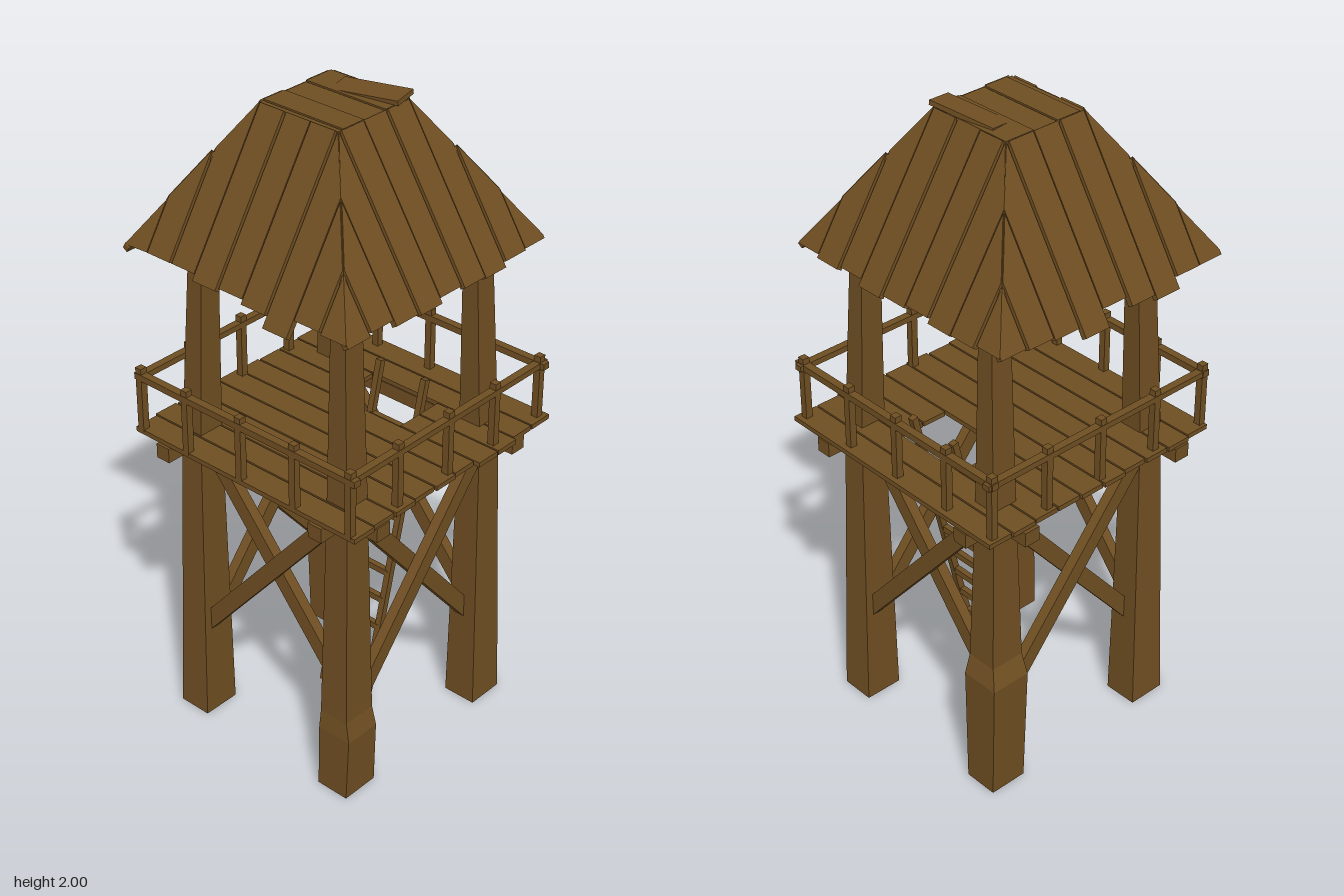
import * as THREE from 'three';

const wood = new THREE.MeshStandardMaterial({ color: 0x6f4e22 });
wood.name = 'brown wood';
wood.flatShading = true;

function add(parent, name, geometry) {
  const mesh = new THREE.Mesh(geometry, wood);
  mesh.name = name;
  parent.add(mesh);
  return mesh;
}

function subGroup(parent, name, x = 0, z = 0) {
  const group = new THREE.Group();
  group.name = name;
  group.position.set(x, 0, z);
  parent.add(group);
  return group;
}

// Axis-aligned box given by its ranges
function box(parent, name, x0, x1, y0, y1, z0, z1) {
  const mesh = add(parent, name, new THREE.BoxGeometry(x1 - x0, y1 - y0, z1 - z0));
  mesh.position.set((x0 + x1) / 2, (y0 + y1) / 2, (z0 + z1) / 2);
}

// Square beam between two points of the parent's own frame
function beam(parent, name, a, b, width, depth) {
  const from = new THREE.Vector3(...a), to = new THREE.Vector3(...b);
  const geometry = new THREE.BoxGeometry(width, depth, from.distanceTo(to));
  geometry.applyMatrix4(new THREE.Matrix4().lookAt(to, from, new THREE.Vector3(0, 1, 0)));
  add(parent, name, geometry).position.copy(from).add(to).multiplyScalar(0.5);
}

// Four-sided post from sections [y, inner, outerX, outerZ], mirrored by sx and sz
function postGeometry(sections, sx, sz) {
  const corners = [], index = [];
  for (const [y, inner, ox, oz] of sections) {
    const ring = [[inner, inner], [inner, oz], [ox, oz], [ox, inner]];
    if (sx * sz < 0) ring.reverse();
    for (const [x, z] of ring) corners.push(sx * x, y, sz * z);
  }
  const n = sections.length;
  for (let s = 0; s < n - 1; s++) {
    for (let i = 0; i < 4; i++) {
      const a = s * 4 + i, b = s * 4 + (i + 1) % 4;
      index.push(a, b, b + 4, a, b + 4, a + 4);
    }
  }
  const t = (n - 1) * 4;
  index.push(0, 2, 1, 0, 3, 2, t, t + 1, t + 2, t, t + 2, t + 3);
  const geometry = new THREE.BufferGeometry();
  geometry.setAttribute('position', new THREE.Float32BufferAttribute(corners, 3));
  geometry.setIndex(index);
  const flat = geometry.toNonIndexed();
  flat.computeVertexNormals();
  return flat;
}

function buildLegs(group) {
  const legs = subGroup(group, 'legs', 0.01, -0.004);
  const plain = [[0, 0.23, 0.338, 0.352], [0.95, 0.24, 0.315, 0.325], [1.6, 0.235, 0.283, 0.3]];
  const bulge = (y, x, z) => [plain[0], [y, 0.232, x, z], [y + 0.06, 0.232, 0.33, 0.342], plain[1], plain[2]];
  add(legs, 'frontRightLeg', postGeometry(plain, -1, 1));
  add(legs, 'backLeftLeg', postGeometry(plain, 1, -1));
  add(legs, 'frontLeftLeg', postGeometry(bulge(0.21, 0.346, 0.35), 1, 1));
  add(legs, 'backRightLeg', postGeometry(bulge(0.4, 0.355, 0.361), -1, -1));
}

// Crossed braces on every side
function buildBraces(group) {
  const braces = subGroup(group, 'braces', 0.012, -0.004);
  for (let k = 0; k < 4; k++) {
    const side = subGroup(braces, 'crossBrace');
    side.rotation.y = k * Math.PI / 2;
    for (const s of [-1, 1]) {
      const z = 0.285 + s * 0.016;
      beam(side, 'brace', [-s * 0.268, 0.305, z], [s * 0.268, 0.94, z], 0.032, 0.05);
    }
  }
}

function buildPlatform(group) {
  const platform = subGroup(group, 'platform', 0.003);
  for (const s of [-1, 1]) {
    const c = s * 0.29;
    box(platform, 'crossBeam', -0.42, 0.425, 0.932, 0.977, c - 0.026, c + 0.026);
    box(platform, 'sideBeam', c - 0.024, c + 0.024, 0.93, 0.976, -0.435, 0.416);
  }
  // Floor planks, two of them cut for the ladder hatch
  const ends = [0.425, 0.425, 0.438, 0.438, 0.42, 0.425, 0.42, 0.425, 0.42, 0.425];
  ends.forEach((end, i) => {
    const z0 = -0.431 + i * 0.0843, z1 = z0 + 0.079;
    if (i === 2 || i === 3) {
      box(platform, 'floorPlank', -0.405, -0.1, 0.975, 0.99, z0, z1);
      box(platform, 'floorPlank', 0.15, end, 0.975, 0.99, z0, z1);
    } else {
      box(platform, 'floorPlank', -0.405 - (i % 3) * 0.004, end, 0.975, 0.99, z0, z1);
    }
  });
}

function buildRailing(group) {
  const railing = subGroup(group, 'railing', 0.004, -0.003);
  const post = (x, z) => box(railing, 'railPost', x - 0.011, x + 0.011, 0.985, 1.19, z - 0.011, z + 0.011);
  const xs = [-0.385, -0.205, 0, 0.2, 0.4], zs = [0.4, 0.21, 0, -0.2, -0.4];
  for (const z of [zs[0], zs[4]]) {
    xs.forEach(x => post(x, z));
    box(railing, 'handrail', -0.4, 0.425, 1.152, 1.172, z - 0.012, z + 0.012);
  }
  for (const x of [xs[0], xs[4]]) {
    zs.slice(1, 4).forEach(z => post(x, z));
    box(railing, 'handrail', x - 0.012, x + 0.012, 1.153, 1.171, -0.422, 0.41);
  }
}

function buildLadder(group) {
  const ladder = subGroup(group, 'ladder', 0.003, -0.002);
  for (const x of [-0.06, 0.11]) beam(ladder, 'ladderRail', [x, 0.015, 0], [x, 1.06, -0.25], 0.02, 0.02);
  for (let i = 0; i < 10; i++) {
    const y = 0.095 + i * 0.0885, z = -0.239 * (y - 0.015);
    box(ladder, 'rung', -0.06, 0.11, y - 0.01, y + 0.01, z - 0.009, z + 0.009);
  }
}

function buildRoof(group) {
  const roof = subGroup(group, 'roof', -0.01);
  const top = 0.14, run = 0.27, drop = 0.42, topY = 1.975;
  const slope = Math.hypot(run, drop);

  // Closed core under the planks
  const core = new THREE.CylinderGeometry(0.125 * Math.SQRT2, 0.386 * Math.SQRT2, 0.4, 4, 1);
  add(roof, 'roofCore', core.rotateY(Math.PI / 4)).position.y = 1.76;

  // Sloping planks, trimmed at the hips; eave reach of each plank by side
  const reach = [
    [0.4, 0.4, 0.4, 0.41, 0.405, 0.412, 0.43, 0.402, 0.405],
    [0.41, 0.405, 0.415, 0.418, 0.41, 0.415, 0.418, 0.41, 0.408],
    [0.405, 0.41, 0.405, 0.415, 0.41, 0.405, 0.412, 0.41, 0.405],
    [0.408, 0.411, 0.415, 0.432, 0.405, 0.42, 0.428, 0.41, 0.41],
  ];
  const hip = u => -slope * Math.max(0, (Math.abs(u) - top) / run);
  const basis = new THREE.Matrix4().makeBasis(
    new THREE.Vector3(1, 0, 0),
    new THREE.Vector3(0, drop / slope, -run / slope),
    new THREE.Vector3(0, run / slope, drop / slope));
  basis.setPosition(0, topY, top);
  reach.forEach((row, k) => {
    const side = subGroup(roof, 'roofSide');
    side.rotation.y = k * Math.PI / 2;
    row.forEach((r, i) => {
      const u0 = (i - 4) * 0.09 - 0.042, u1 = u0 + 0.084, end = -slope * (r - top) / run;
      const outline = [[u0, hip(u0)], [u0, end], [u1, end], [u1, hip(u1)]];
      const shape = new THREE.Shape(outline.map(p => new THREE.Vector2(...p)));
      const geometry = new THREE.ExtrudeGeometry(shape, { depth: 0.018, bevelEnabled: false });
      geometry.translate(0, 0, -0.018 + (i % 2) * 0.004);
      add(side, 'roofPlank', geometry.applyMatrix4(basis));
    });
  });

  // Flat cap planks and one loose, lifted plank
  const edges = [-0.14, -0.04, 0.042, 0.125, 0.142];
  for (let i = 0; i < 4; i++) {
    box(roof, 'capPlank', -0.14, 0.14, 1.955, 1.977 - (i % 2) * 0.003, edges[i], edges[i + 1] - 0.003);
  }
  const loose = add(roof, 'loosePlank', new THREE.BoxGeometry(0.215, 0.014, 0.076));
  loose.position.set(0.04, 1.98, -0.1);
  loose.rotation.set(0.1, 0.15, 0.06);
}

export function createModel() {
  const group = new THREE.Group();
  group.name = 'watchtower';
  buildLegs(group);
  buildBraces(group);
  buildPlatform(group);
  buildRailing(group);
  buildLadder(group);
  buildRoof(group);
  return group;
}
